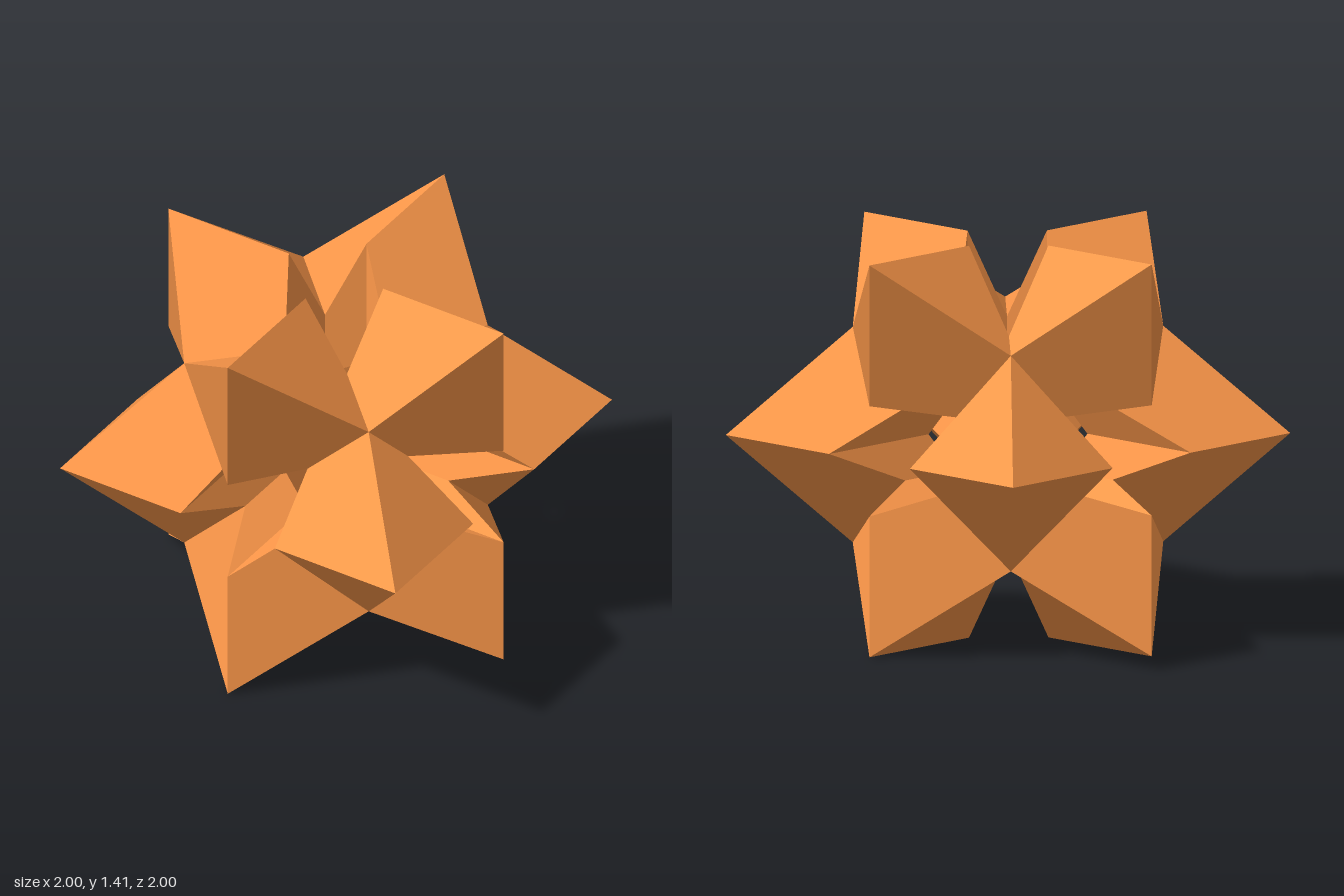
import * as THREE from 'three';

const TIP = Math.SQRT1_2; // spike tip, on two axes
const VALLEY = 0.389;     // corner where three spikes meet
const RIM = 0.199;        // hole corners on the spike ridges
const NOTCH = 0.131;      // hole corners in the valleys

// One quarter of a spike lying between +x and +y, as corner loops
const P = [TIP, TIP, 0], C = [VALLEY, VALLEY, VALLEY];
const B = [RIM, TIP, 0], D = [NOTCH, VALLEY, NOTCH];
const F = [RIM, RIM, 0], E = [NOTCH, NOTCH, NOTCH];
const outerFace = [P, B, D, C];
const holeWall = [B, F, E, D];

// The two ways to fold a four-sided panel: an outward or an inward crease
const RAISED = [0, 1, 3, 1, 2, 3];
const SUNKEN = [0, 1, 2, 0, 2, 3];

// Adds a folded four-sided panel with one shared normal
function addPanel(loop, fold, positions, normals) {
  const v = loop.map((p) => new THREE.Vector3(...p));
  const n = v[2].clone().sub(v[0]).cross(v[3].clone().sub(v[1])).normalize();
  for (const i of fold) {
    positions.push(...v[i].toArray());
    normals.push(...n.toArray());
  }
}

// A spike in the plane of two axes, mirrored from its quarter
function spikeGeometry(axis, su, sv) {
  const positions = [], normals = [];
  for (const sw of [1, -1]) {
    for (const swap of [false, true]) {
      const place = ([a, b, w]) => {
        const [u, v] = swap ? [b, a] : [a, b];
        const p = [0, 0, 0];
        p[axis] = u * su;
        p[(axis + 1) % 3] = v * sv;
        p[(axis + 2) % 3] = w * sw;
        return p;
      };
      // Panels around the top and bottom holes fold inward
      const holeAxis = swap ? axis : (axis + 1) % 3;
      const fold = holeAxis === 1 ? SUNKEN : RAISED;
      const mirrored = su * sv * sw * (swap ? -1 : 1) < 0;
      for (const face of [outerFace, holeWall]) {
        const [a, b, c, d] = face.map(place);
        addPanel(mirrored ? [a, d, c, b] : [a, b, c, d], fold, positions, normals);
      }
    }
  }
  const g = new THREE.BufferGeometry();
  g.setAttribute('position', new THREE.Float32BufferAttribute(positions, 3));
  g.setAttribute('normal', new THREE.Float32BufferAttribute(normals, 3));
  // Turn so that four spikes point along x and z, and stand on the ground
  return g.rotateY(Math.PI / 4).translate(0, TIP, 0);
}

export function createModel() {
  const group = new THREE.Group();
  group.name = 'spikedPaperStar';
  const paper = new THREE.MeshStandardMaterial({ color: 0xff994a });

  // Twelve spikes, four in each coordinate plane
  let count = 0;
  for (let axis = 0; axis < 3; axis++) {
    for (const su of [1, -1]) {
      for (const sv of [1, -1]) {
        const spike = new THREE.Mesh(spikeGeometry(axis, su, sv), paper);
        spike.name = `spike${++count}`;
        group.add(spike);
      }
    }
  }
  return group;
}
